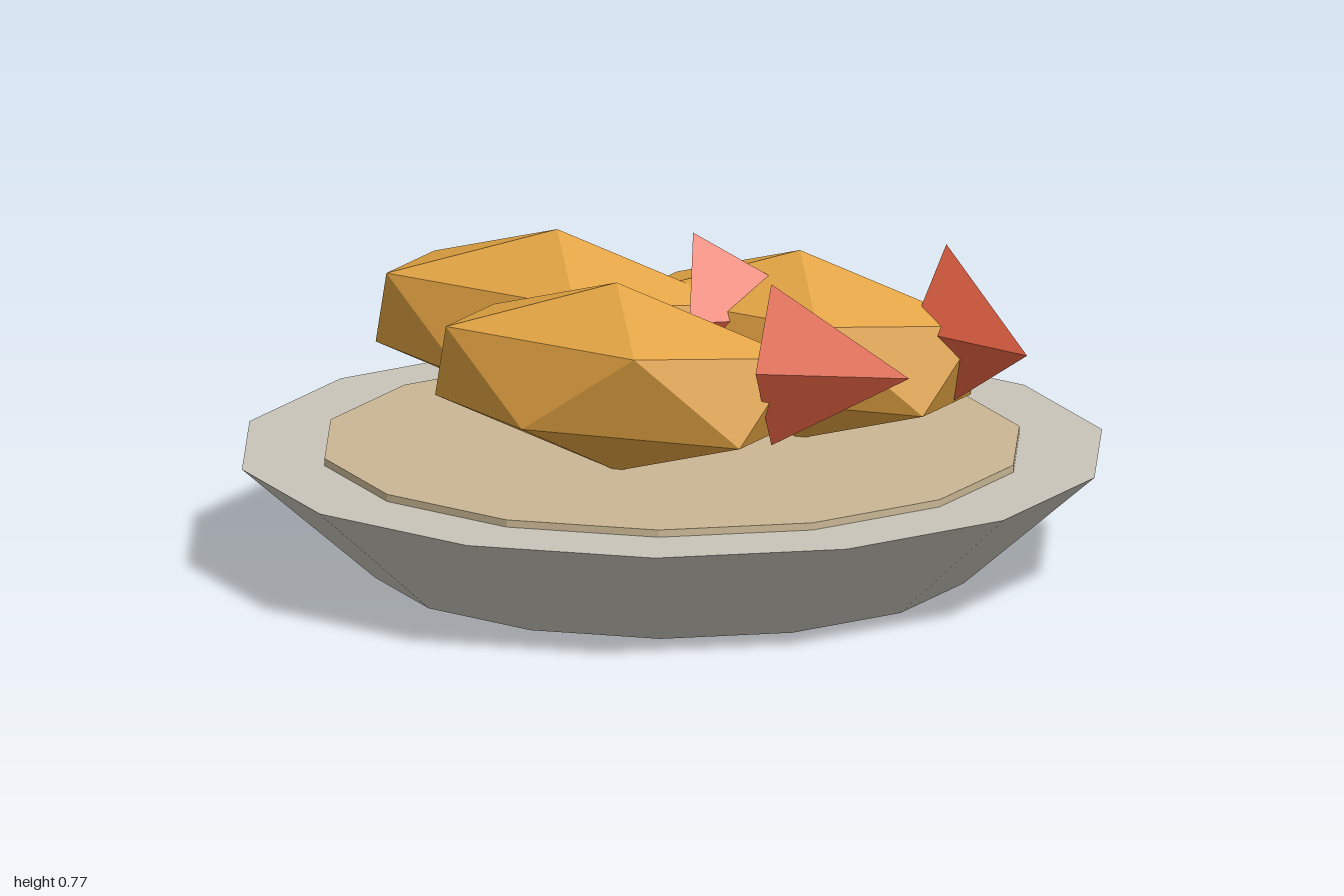
import * as THREE from 'three';

function material(name, color) {
  const m = new THREE.MeshStandardMaterial({ color, flatShading: true });
  m.name = name;
  return m;
}

export function createModel() {
  const model = new THREE.Group();
  const stone = material('stone grey', 0xc8c4b8);
  const beige = material('beige', 0xc9b694);
  const golden = material('golden', 0xe3a443);
  const red = material('coral red', 0xe26142);

  function add(parent, name, geometry, mat, x, y, z) {
    const mesh = new THREE.Mesh(geometry, mat);
    mesh.name = name;
    mesh.position.set(x, y, z);
    parent.add(mesh);
    return mesh;
  }

  // Flared fourteen-sided dish with a thin raised inlay
  add(model, 'plate', new THREE.CylinderGeometry(1, 0.69, 0.27, 14), stone, 0, 0.135, 0);
  add(model, 'plateInlay', new THREE.CylinderGeometry(0.808, 0.808, 0.04, 14), beige, 0, 0.267, 0);

  // Faceted body: icosahedron stood on a vertex and stretched along x
  const bodyGeometry = new THREE.IcosahedronGeometry(1, 0);
  bodyGeometry.rotateZ(-Math.atan(2 / (1 + Math.sqrt(5))));
  bodyGeometry.scale(0.525, 0.222, 0.222);
  bodyGeometry.computeVertexNormals();

  // Flattened four-sided tail with its tip towards +x
  const tailGeometry = new THREE.ConeGeometry(0.19, 0.34, 4);
  tailGeometry.rotateZ(-Math.PI / 2);
  tailGeometry.scale(1, 1, 0.5);

  // Body centre x, z; tail offset x, z; tail turn
  const pieces = [
    [0, 0.27, 0.573, -0.01, 0.1],
    [-0.35, -0.1, 0.53, -0.025, 0.4],
    [0.23, -0.19, 0.503, 0.037, -0.51],
  ];
  pieces.forEach(([x, z, tx, tz, turn], i) => {
    const piece = new THREE.Group();
    piece.name = `friedPiece${i + 1}`;
    piece.position.set(x, 0.503, z);
    add(piece, 'body', bodyGeometry, golden, 0, 0, 0);
    add(piece, 'tail', tailGeometry, red, tx, 0.078, tz).rotation.y = turn;
    model.add(piece);
  });

  return model;
}
